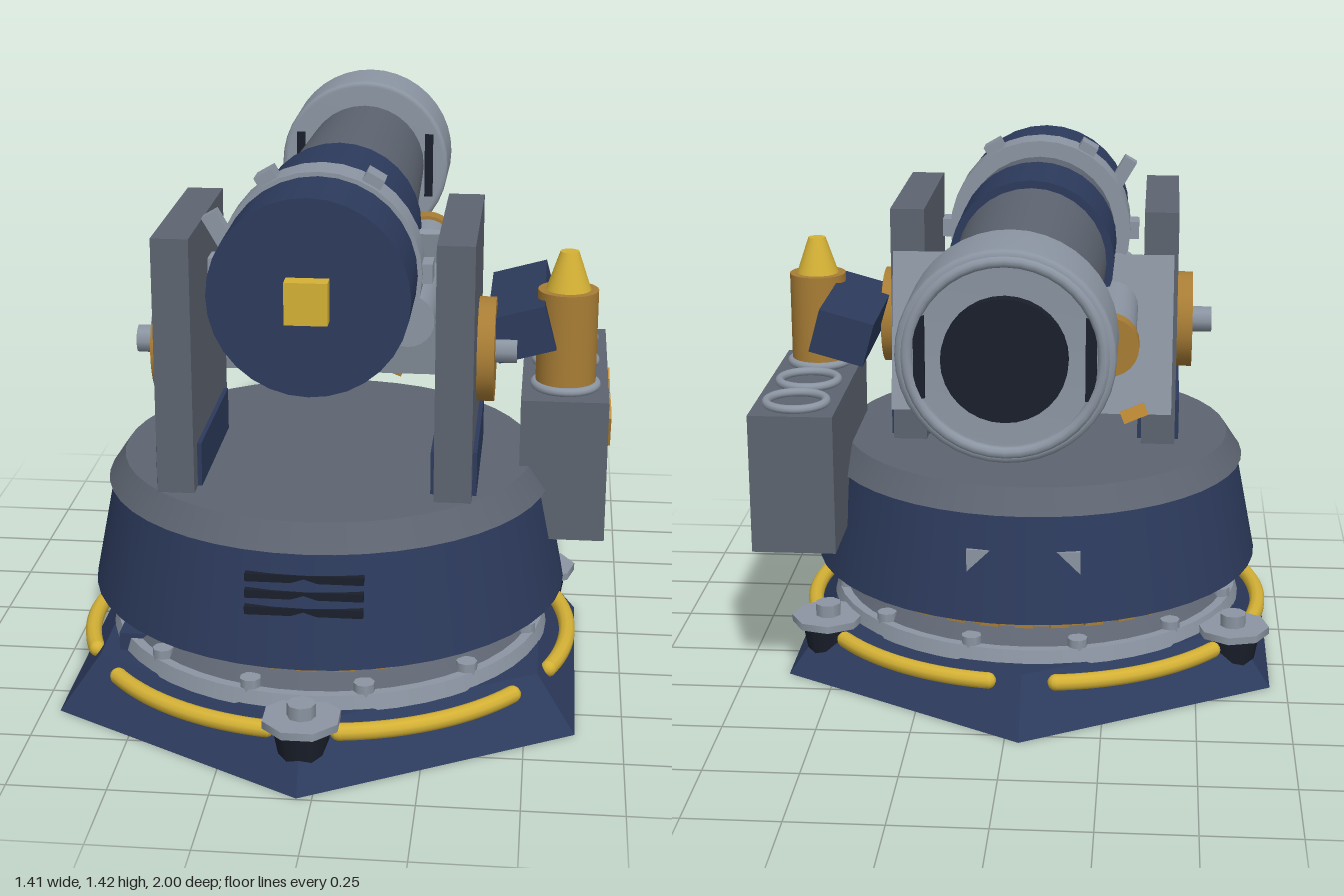
import * as THREE from 'three';

const material = (color) => new THREE.MeshStandardMaterial({ color });

export function createModel() {
  const model = new THREE.Group();
  const navy = material(0x2c3a5c), steel = material(0x5d6470), light = material(0x8b95a2);
  const gold = material(0xa87d35), yellow = material(0xd4b135), dark = material(0x1a1f2b);
  const orange = material(0xc08a35);
  const CX = -0.038, CZ = 0.227; // turret axis
  const GY = 1.16; // gun axis height

  function add(name, geometry, mat, x, y, z, parent = model) {
    const mesh = new THREE.Mesh(geometry, mat);
    mesh.name = name;
    mesh.position.set(x, y, z);
    parent.add(mesh);
    return mesh;
  }
  const box = (name, mat, w, h, d, x, y, z, parent) =>
    add(name, new THREE.BoxGeometry(w, h, d), mat, x, y, z, parent);
  // upright drum on the turret axis
  const drum = (name, mat, rTop, rBottom, y0, y1, sides = 48) =>
    add(name, new THREE.CylinderGeometry(rTop, rBottom, y1 - y0, sides), mat, CX, (y0 + y1) / 2, CZ);
  // cylinder along z from the rear end z0 to the muzzle end z1
  function along(name, mat, r0, r1, z0, z1, x = CX, y = GY, sides = 32) {
    const g = new THREE.CylinderGeometry(r0, r1, z0 - z1, sides).rotateX(Math.PI / 2);
    return add(name, g, mat, x, y, (z0 + z1) / 2);
  }
  // group turned about the turret axis
  function spoke(name, angle) {
    const g = new THREE.Group();
    g.name = name;
    g.position.set(CX, 0, CZ);
    g.rotation.y = angle;
    model.add(g);
    return g;
  }

  // hexagonal foot
  const foot = new THREE.CylinderGeometry(0.655, 0.77, 0.14, 6).toNonIndexed();
  foot.computeVertexNormals();
  add('hexagonalBase', foot, navy, CX, 0.07, CZ);

  // yellow tube arcs, one per side of the foot
  for (let i = 0; i < 6; i++) {
    const points = [];
    for (let k = 0; k <= 12; k++) {
      const a = (i * 60 + 8 + (44 * k) / 12) * Math.PI / 180;
      points.push(new THREE.Vector3(Math.sin(a) * 0.643, 0, Math.cos(a) * 0.643));
    }
    const path = new THREE.CatmullRomCurve3(points);
    add('yellowGuardTube', new THREE.TubeGeometry(path, 24, 0.022, 10), yellow, CX, 0.113, CZ);
    for (const end of [points[0], points[12]])
      add('guardTubeEnd', new THREE.SphereGeometry(0.022, 10, 8), yellow, CX + end.x, 0.113, CZ + end.z);
  }

  // three bolted anchor lugs
  for (let i = 0; i < 3; i++) {
    const g = spoke('anchorLug', (i * 2 * Math.PI) / 3);
    add('lugPlate', new THREE.CylinderGeometry(0.1, 0.1, 0.02, 8).rotateY(Math.PI / 8), light, 0, 0.15, 0.65, g);
    add('lugBolt', new THREE.CylinderGeometry(0.036, 0.036, 0.035, 8), light, 0, 0.177, 0.65, g);
    add('lugFoot', new THREE.CylinderGeometry(0.075, 0.05, 0.142, 12), dark, 0, 0.07, 0.65, g);
  }

  // slewing ring
  drum('lowerRing', light, 0.575, 0.585, 0.135, 0.175);
  drum('ringCollar', steel, 0.5, 0.55, 0.175, 0.225);
  drum('bearingCore', dark, 0.5, 0.5, 0.22, 0.28);
  drum('gearRing', gold, 0.525, 0.525, 0.222, 0.262);
  for (let i = 0; i < 36; i++) {
    const g = spoke('gearTooth', (i * Math.PI) / 18);
    box('tooth', gold, 0.05, 0.034, 0.04, 0, 0.242, 0.523, g);
  }
  for (let i = 0; i < 12; i++) {
    const g = spoke('ringBolt', ((i + 0.5) * Math.PI) / 6);
    add('bolt', new THREE.CylinderGeometry(0.027, 0.027, 0.03, 8), light, 0, 0.183, 0.55, g);
  }
  box('ringMotor', navy, 0.09, 0.05, 0.07, -0.515, 0.163, 0.49);

  // turret drum and lid
  drum('turretDrum', navy, 0.57, 0.627, 0.27, 0.556);
  drum('turretLid', steel, 0.54, 0.584, 0.556, 0.622);
  for (const y of [0.49, 0.45, 0.41])
    box('frontVent', dark, 0.29, 0.02, 0.06, CX, y, CZ + 0.553 + (0.49 - y) * 0.2);
  box('rearPanel', light, 0.3, 0.1, 0.06, CX, 0.41, CZ - 0.552);

  // side cheeks with trunnions, mirrored
  for (const s of [-1, 1]) {
    const at = (d) => CX + s * d;
    box('cheekPlate', steel, 0.093, 0.655, 0.53, at(0.345), 0.948, 0.342);
    box('cheekFoot', navy, 0.115, 0.115, 0.43, at(0.345), 0.678, 0.34);
    add('trunnionDisc', new THREE.CylinderGeometry(0.134, 0.134, 0.06, 32).rotateZ(Math.PI / 2), gold, at(0.405), 0.925, 0.297);
    add('trunnionPin', new THREE.CylinderGeometry(0.037, 0.037, 0.1, 8).rotateZ(Math.PI / 2), light, at(0.44), 0.925, 0.297);
    along('recoilCylinder', light, 0.068, 0.068, 0.42, -0.35, at(0.217), 1.03, 24);
    along('recoilCap', gold, 0.077, 0.077, -0.345, -0.4, at(0.217), 1.03, 24);
  }

  // sloped rear shield with hazard stripes along its lower edge
  const shield = new THREE.Group();
  shield.name = 'rearShield';
  shield.position.set(CX, 0.955, 0.005);
  shield.rotation.x = 0.22;
  model.add(shield);
  box('shieldPanel', light, 0.76, 0.43, 0.03, 0, 0, 0, shield);
  for (let i = 0; i < 5; i++)
    box('shieldStripe', orange, 0.07, 0.035, 0.012, -0.28 + i * 0.14, -0.212, -0.018, shield).rotation.z = -0.4;

  // gun
  along('breech', navy, 0.245, 0.245, 0.692, 0.46);
  box('breechHandle', yellow, 0.104, 0.104, 0.06, CX, GY, 0.708);
  along('breechRing', light, 0.256, 0.256, 0.467, 0.358);
  along('barrel', steel, 0.212, 0.177, 0.37, -0.78);
  along('barrelSleeve', navy, 0.22, 0.22, 0.236, -0.035);
  for (let i = 0; i < 6; i++) {
    const a = ((i + 0.5) * Math.PI) / 3;
    const lug = box('ringClamp', light, 0.05, 0.06, 0.07, CX + Math.sin(a) * 0.25, GY + Math.cos(a) * 0.25, 0.412);
    lug.rotation.z = -a;
  }
  const a = -Math.PI / 3;
  box('breechLatch', light, 0.09, 0.04, 0.04, CX + Math.sin(a) * 0.265, GY + 0.133, 0.565).rotation.z = 2 * Math.PI / 3;
  along('underLug', navy, 0.042, 0.042, 0.56, 0.36, CX, 0.917, 16);

  // small rods under the barrel
  along('underRod', light, 0.016, 0.016, -0.06, -0.29, CX, 0.942, 10);
  box('rodBracket', light, 0.12, 0.025, 0.025, CX, 0.945, -0.12);
  box('rodBracket', light, 0.03, 0.06, 0.03, CX, 0.965, -0.22);

  // muzzle drum with rounded edges, bore and side slots
  const profile = [[0.01, -0.11], [0.235, -0.11], [0.246, -0.105], [0.25, -0.095], [0.25, 0.095],
    [0.246, 0.105], [0.235, 0.11], [0.215, 0.11], [0.205, 0.1], [0.01, 0.1]]
    .map(([r, y]) => new THREE.Vector2(r, y));
  const muzzle = new THREE.LatheGeometry(profile, 40).rotateX(-Math.PI / 2);
  add('muzzle', muzzle, light, CX, GY, -0.867);
  add('muzzleRim', new THREE.TorusGeometry(0.222, 0.014, 10, 40), light, CX, GY, -0.972);
  along('bore', dark, 0.143, 0.143, -0.9, -1);
  for (const s of [-1, 1])
    box('muzzleSlot', dark, 0.025, 0.19, 0.228, CX + s * 0.193, GY, -0.866);

  // ammunition locker
  box('ammoLocker', steel, 0.225, 0.38, 0.64, 0.578, 0.61, 0.015);
  for (const z of [-0.195, 0.007, 0.21])
    add('lockerRing', new THREE.TorusGeometry(0.08, 0.012, 10, 32).rotateX(Math.PI / 2), light, 0.578, 0.81, z);
  for (let i = 0; i < 4; i++)
    box('lockerStripe', orange, 0.012, 0.096, 0.048, 0.695, 0.682, 0.176 - i * 0.109).rotation.x = 0.4;
  add('shellCase', new THREE.CylinderGeometry(0.078, 0.078, 0.265, 28), gold, 0.578, 0.932, 0.21);
  add('shellTip', new THREE.CylinderGeometry(0.024, 0.058, 0.1, 28), yellow, 0.578, 1.115, 0.21);
  box('loaderArm', navy, 0.15, 0.12, 0.45, 0.463, 0.968, 0.088).rotation.z = 0.27;

  return model;
}
